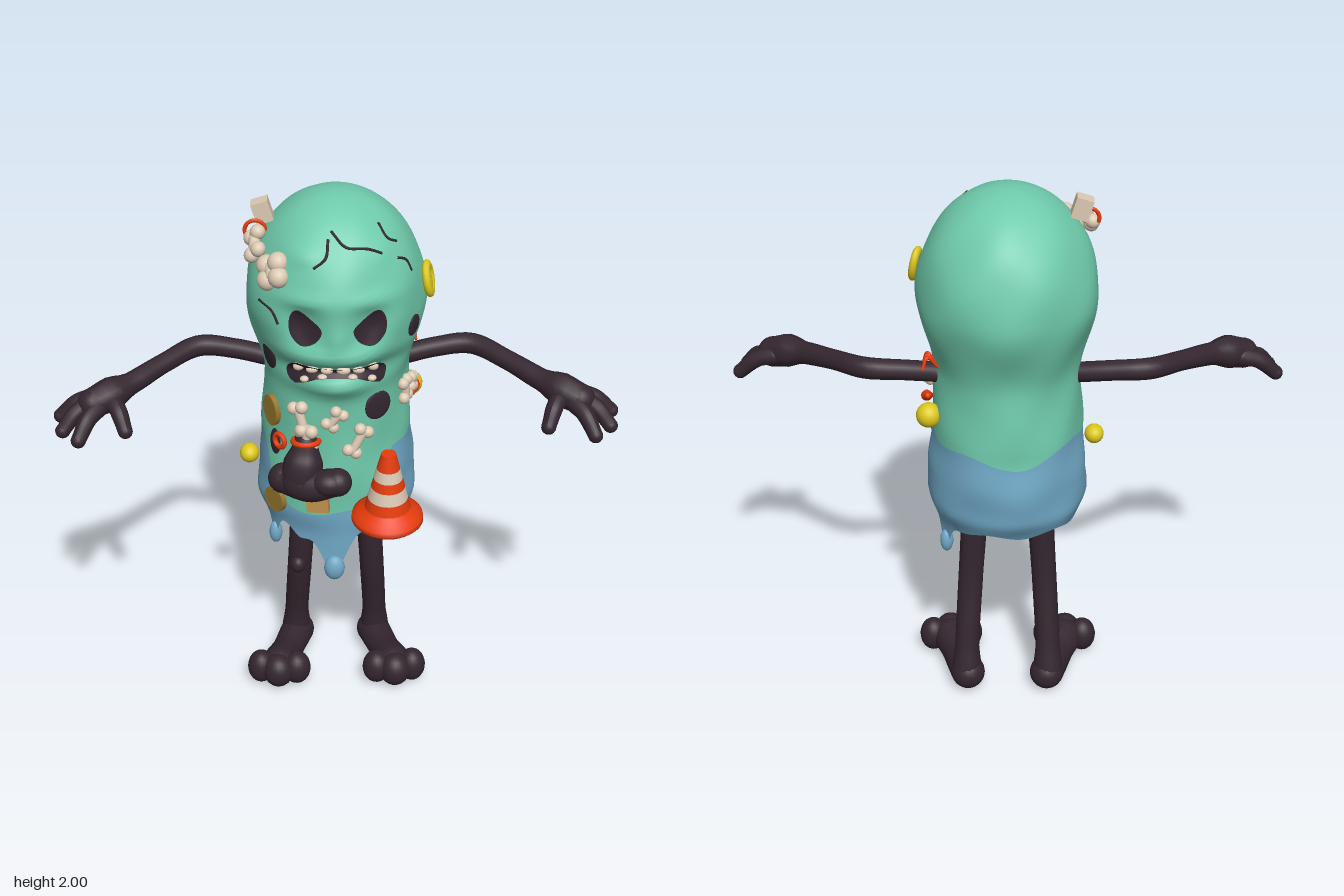
import * as THREE from 'three';

const V = (x, y, z) => new THREE.Vector3(x, y, z);
const mat = (name, color, side = THREE.FrontSide) => {
  const m = new THREE.MeshStandardMaterial({ color, side });
  m.name = name;
  return m;
};
const smooth = THREE.MathUtils.smoothstep;
const gauss = (d, s) => Math.exp(-(d * d) / (2 * s * s));

// Body profile: height, half width, front z, back z
const KEYS = [[0.5, 0.24, 0.18, -0.31], [0.74, 0.26, 0.18, -0.32], [0.85, 0.29, 0.19, -0.365], [0.96, 0.283, 0.195, -0.375],
  [1.1, 0.27, 0.19, -0.36], [1.34, 0.258, 0.2, -0.34], [1.62, 0.315, 0.265, -0.41]];
// Face relief: x, y, spread x, spread y, amount
const BUMPS = [[-0.11, 1.63, 0.045, 0.05, -0.035], [0.11, 1.63, 0.045, 0.05, -0.035], [-0.12, 1.72, 0.06, 0.02, 0.018],
  [0.12, 1.72, 0.06, 0.02, 0.018], [0, 1.58, 0.025, 0.03, 0.015], [0, 1.515, 0.13, 0.025, 0.035], [0, 1.455, 0.14, 0.02, -0.02],
  [0, 1.395, 0.12, 0.03, 0.04], [0.16, 1.87, 0.03, 0.03, 0.01], [-0.12, 1.86, 0.04, 0.02, 0.012]];

function section(y) {
  if (y >= 1.62) {
    const s = Math.sqrt(Math.max(0, 1 - ((y - 1.62) / 0.38) ** 2));
    return [0.315 * s, -0.07 + 0.335 * s, -0.07 - 0.34 * s];
  }
  let i = 0;
  while (i < KEYS.length - 2 && y > KEYS[i + 1][0]) i++;
  const t = smooth(y, KEYS[i][0], KEYS[i + 1][0]);
  return [1, 2, 3].map(k => KEYS[i][k] + (KEYS[i + 1][k] - KEYS[i][k]) * t);
}
function surf(a, y) {
  const [rx, zf, zb] = section(y), zc = -0.07, c = Math.cos(a);
  const lump = 1 + 0.012 * Math.sin(3 * a + 9 * y) * Math.sin(11 * y + 2 * a) + 0.008 * Math.sin(7 * a - 17 * y);
  const p = V(rx * Math.sin(a) * lump, y, zc + (c > 0 ? zf - zc : zc - zb) * c * lump);
  if (c > 0) for (const [bx, by, sx, sy, amt] of BUMPS) p.z += amt * gauss(p.x - bx, sx) * gauss(y - by, sy) * Math.min(1, c * 2);
  return p;
}
function normalAt(a, y) {
  const e = 0.01;
  return surf(a + e, y).sub(surf(a - e, y)).cross(surf(a, y + e).sub(surf(a, y - e))).normalize();
}
const angleOf = (x, y) => Math.asin(THREE.MathUtils.clamp(x / section(y)[0], -1, 1));
const onFront = (x, y, off) => {
  const a = angleOf(x, y);
  return surf(a, y).addScaledVector(normalAt(a, y), off);
};

// Hem drips: angle, depth, spread
const DRIPS = [[-0.04, 0.17, 0.17], [-1.08, 0.09, 0.09], [2.1, 0.12, 0.11], [0.75, 0.05, 0.12], [-0.55, 0.05, 0.12], [1.4, 0.06, 0.1]];
const hem = a => DRIPS.reduce((h, [d, depth, s]) => h - depth * gauss(a - d, s), 0.77 + 0.012 * Math.sin(7 * a));
const waterline = a => 0.86 + 0.25 * (a > 0 ? smooth(a, 0.25, 0.9) : smooth(-a, 0.6, 1.4))
  + 0.012 * Math.sin(5 * a) - 0.04 * smooth(Math.abs(a), 2.4, 3.1);

function bodyGeometry() {
  const seg = 144, low = 16, high = 64, pos = [], idx = [];
  for (let i = 0; i <= low + high; i++) for (let j = 0; j < seg; j++) {
    const a = -Math.PI + (j / seg) * Math.PI * 2, w = waterline(a);
    const y = i <= low ? hem(a) + (w - hem(a)) * i / low : w + (2 - w) * Math.sin((i - low) / high * Math.PI / 2);
    pos.push(...surf(a, y).toArray());
  }
  for (let i = 0; i < low + high; i++) for (let j = 0; j < seg; j++) {
    const a = i * seg + j, b = i * seg + (j + 1) % seg;
    idx.push(a, b, b + seg, a, b + seg, a + seg);
  }
  const g = new THREE.BufferGeometry();
  g.setAttribute('position', new THREE.Float32BufferAttribute(pos, 3));
  g.setIndex(idx);
  g.addGroup(0, low * seg * 6, 0);
  g.addGroup(low * seg * 6, high * seg * 6, 1);
  g.computeVertexNormals();
  return g;
}

// Closed outline (counter-clockwise) laid onto the front of the body
function patchGeometry(pts, off) {
  const n = 32, rings = 6, pos = [], idx = [];
  const loop = new THREE.CatmullRomCurve3(pts.map(p => V(p[0], p[1], 0)), true).getPoints(n).slice(0, n);
  const mid = loop.reduce((s, p) => s.add(p), V(0, 0, 0)).divideScalar(n);
  for (let r = 0; r <= rings; r++) for (const p of loop) {
    const q = mid.clone().lerp(p, r / rings);
    pos.push(...onFront(q.x, q.y, off).toArray());
  }
  for (let r = 0; r < rings; r++) for (let j = 0; j < n; j++) {
    const a = r * n + j, b = r * n + (j + 1) % n;
    idx.push(a, a + n, b + n, a, b + n, b);
  }
  const g = new THREE.BufferGeometry();
  g.setAttribute('position', new THREE.Float32BufferAttribute(pos, 3));
  g.setIndex(idx);
  g.computeVertexNormals();
  return g;
}

export function createModel() {
  const model = new THREE.Group();
  const green = mat('green slime', 0x6fcaac, THREE.DoubleSide), blue = mat('blue slime', 0x70a8c6, THREE.DoubleSide);
  const dark = mat('dark skin', 0x34262f, THREE.DoubleSide), bone = mat('bone', 0xdccab4), yellow = mat('yellow', 0xdcc81e);
  const orange = mat('orange', 0xe63c0c), brown = mat('brown', 0x96762c), tan = mat('tan', 0xc0924a);

  const add = (name, geo, m, parent = model) => {
    const mesh = new THREE.Mesh(geo, m);
    mesh.name = name;
    parent.add(mesh);
    return mesh;
  };
  const ball = (name, m, p, s, parent) => {
    const b = add(name, new THREE.SphereGeometry(1, 20, 14), m, parent);
    b.position.set(...p);
    b.scale.set(...s);
    return b;
  };
  // Tapered tube with round ends; each point is x, y, z, radius
  const limb = (name, m, pts, parent = model) => {
    const n = 28, ring = 14, curve = new THREE.CatmullRomCurve3(pts.map(p => V(p[0], p[1], p[2])));
    const g = new THREE.TubeGeometry(curve, n, 1, ring), at = g.attributes.position, v = V(0, 0, 0);
    for (let i = 0; i <= n; i++) {
      const t = curve.getUtoTmapping(i / n) * (pts.length - 1), k = Math.min(Math.floor(t), pts.length - 2);
      const c = curve.getPointAt(i / n), r = pts[k][3] + (pts[k + 1][3] - pts[k][3]) * smooth(t - k, 0, 1);
      for (let j = i * (ring + 1); j < (i + 1) * (ring + 1); j++) {
        v.fromBufferAttribute(at, j).sub(c).multiplyScalar(r).add(c);
        at.setXYZ(j, v.x, v.y, v.z);
      }
    }
    g.computeVertexNormals();
    add(name, g, m, parent);
    for (const p of [pts[0], pts.at(-1)]) ball(name + 'End', m, p.slice(0, 3), [p[3], p[3], p[3]], parent);
  };
  // Rest a part on the body with its z axis pointing outward
  const stick = (obj, a, y, off = 0, roll = 0) => {
    const n = normalAt(a, y);
    obj.position.copy(surf(a, y)).addScaledVector(n, off);
    obj.quaternion.setFromUnitVectors(V(0, 0, 1), n);
    obj.rotateZ(roll);
    return obj;
  };

  // Body, drip tips
  add('body', bodyGeometry(), [blue, green]);
  DRIPS.slice(0, 3).forEach(([a], i) => {
    const p = surf(a, hem(a));
    ball('dripTip', blue, [p.x, p.y + 0.02, p.z], i ? [0.024, 0.045, 0.024] : [0.038, 0.05, 0.03]);
  });

  // Legs, feet, arms and hands
  for (const s of [1, -1]) {
    const side = s > 0 ? 'left' : 'right', m = pts => pts.map(([x, ...r]) => [x * s, ...r]);
    limb(side + 'Leg', dark, m([[0.115, 1, -0.07, 0.048], [0.122, 0.72, -0.09, 0.048], [0.138, 0.45, -0.105, 0.046], [0.152, 0.2, -0.155, 0.045], [0.155, 0.08, -0.175, 0.056]]));
    limb(side + 'Foot', dark, m([[0.15, 0.066, -0.175, 0.064], [0.19, 0.062, -0.05, 0.06], [0.22, 0.07, 0.05, 0.07]]));
    for (const [x, z, r] of [[0.155, 0.075, 0.054], [0.225, 0.092, 0.06], [0.292, 0.065, 0.052]])
      ball(side + 'Toe', dark, [x * s, 0.07, z], [r, 0.068, r]);
    limb(side + 'Arm', dark, m([[0.25, 1.335, -0.13, 0.036], [0.36, 1.352, -0.15, 0.036], [0.49, 1.362, -0.155, 0.038], [0.61, 1.345, -0.06, 0.036], [0.72, 1.32, 0.04, 0.04], [0.79, 1.305, 0.09, 0.06], [0.85, 1.285, 0.12, 0.055]]));
    const fingers = [[0.84, 1.29, 0.08, 0.97, 1.22, 0.09], [0.86, 1.28, 0.11, 0.955, 1.21, 0.18], [0.83, 1.28, 0.14, 0.895, 1.205, 0.24], [0.78, 1.29, 0.12, 0.735, 1.22, 0.205]];
    for (const [x, y, z, X, Y, Z] of fingers)
      limb(side + 'Finger', dark, m([[x, y, z, 0.034], [(x + X) / 2, (y + Y) / 2 + 0.018, (z + Z) / 2, 0.03], [X, Y, Z, 0.026]]));
    // Slanted eye
    const eye = [[0.05, 1.625], [0.075, 1.575], [0.12, 1.56], [0.158, 1.6], [0.16, 1.66], [0.135, 1.695], [0.09, 1.665]];
    const outline = eye.map(([x, y]) => [x * s, y]);
    add(side + 'Eye', patchGeometry(s > 0 ? outline : outline.reverse(), 0.007), dark);
  }
  ball('kneeBump', dark, [-0.145, 0.46, -0.065], [0.03, 0.035, 0.032]);

  // Mouth and teeth
  add('mouth', patchGeometry([[-0.17, 1.44], [-0.15, 1.4], [-0.07, 1.425], [0, 1.43], [0.08, 1.425], [0.15, 1.4], [0.165, 1.45], [0.13, 1.495], [0.05, 1.48], [0, 1.49], [-0.06, 1.48], [-0.14, 1.5]], 0.008), dark);
  for (const [x, y, w, h] of [[-0.13, 1.475, 0.03, 0.03], [-0.085, 1.467, 0.035, 0.026], [-0.035, 1.47, 0.035, 0.028], [0.02, 1.472, 0.04, 0.03], [0.07, 1.467, 0.035, 0.026], [0.12, 1.474, 0.03, 0.03],
    [-0.11, 1.42, 0.025, 0.022], [-0.05, 1.433, 0.025, 0.018], [0.05, 1.433, 0.025, 0.018], [0.115, 1.42, 0.025, 0.022]])
    ball('tooth', bone, onFront(x, y, 0.008).toArray(), [w / 2 + 0.004, h / 2, 0.014]);

  // Cracks in the head
  for (const line of [[[-0.02, 1.93], [0.03, 1.89], [0.1, 1.88], [0.15, 1.86]], [[-0.08, 1.83], [-0.04, 1.86], [-0.03, 1.91]], [[0.14, 1.93], [0.17, 1.89], [0.2, 1.87]],
    [[-0.26, 1.68], [-0.22, 1.66], [-0.2, 1.62]], [[0.2, 1.83], [0.23, 1.81], [0.25, 1.77]]])
    add('crack', new THREE.TubeGeometry(new THREE.CatmullRomCurve3(line.map(([x, y]) => onFront(x, y, 0))), 16, 0.005, 6), dark);

  // Dark holes: angle, height, half width, half height
  for (const [a, y, w, h] of [[angleOf(0.14, 1.29), 1.29, 0.053, 0.055], [1.03, 1.57, 0.037, 0.04], [-1.0, 1.45, 0.04, 0.06], [-0.95, 1.1, 0.03, 0.05]])
    stick(ball('hole', dark, [0, 0, 0], [w, h, 0.009]), a, y);

  // Bones stuck in the slime
  const addBone = (a, y, len, r, roll, off = 0.012) => {
    const g = new THREE.Group();
    g.name = 'bone';
    add('boneShaft', new THREE.CylinderGeometry(r, r, len, 12), bone, g);
    for (const sx of [-1, 1]) for (const sy of [-1, 1])
      ball('boneKnob', bone, [sx * r, sy * len / 2, 0], [r * 1.35, r * 1.35, r * 1.3], g);
    model.add(stick(g, a, y, off, roll));
  };
  for (const [x, y, len, r, roll] of [[-0.12, 1.245, 0.09, 0.017, 0.3], [-0.01, 1.26, 0.06, 0.015, -0.6], [0.07, 1.165, 0.09, 0.016, -0.5], [0.235, 1.29, 0.06, 0.016, 0.1]])
    addBone(angleOf(x, y), y, len, r, roll);
  addBone(1.42, 1.28, 0.04, 0.016, 1.2);
  addBone(-1.25, 1.83, 0.07, 0.02, 0.6, 0.035);
  addBone(-0.85, 1.79, 0.05, 0.027, 0.3, 0.005);
  const stub = add('boneBlock', new THREE.BoxGeometry(0.06, 0.075, 0.055), bone);
  stub.position.set(-0.25, 1.925, -0.07);
  stub.rotation.z = 0.3;
  const loop = add('redStrand', new THREE.TorusGeometry(0.035, 0.007, 8, 20, 3.6), orange);
  loop.position.set(-0.275, 1.87, -0.03);

  // Yellow ear ring, balls and orange scraps on the sides
  const ear = new THREE.Group();
  ear.name = 'yellowEar';
  const rim = add('earRim', new THREE.TorusGeometry(0.034, 0.014, 10, 24), yellow, ear);
  rim.scale.y = 1.4;
  ball('earCentre', yellow, [0, -0.01, 0], [0.03, 0.045, 0.012], ear);
  model.add(stick(ear, 1.4, 1.69, 0.012));
  ball('yellowBall', yellow, [0.275, 1.19, -0.18], [0.045, 0.045, 0.045]);
  ball('yellowLump', yellow, [-0.315, 1.01, 0.01], [0.035, 0.035, 0.04]);
  limb('orangeScrap', orange, [[0.275, 1.21, -0.07, 0.012], [0.285, 1.225, -0.1, 0.02], [0.28, 1.24, -0.13, 0.012]]);
  for (const dz of [-0.035, 0, 0.03])
    limb('redStrand', orange, [[0.24, 1.38, -0.18, 0.006], [0.275, 1.425, -0.18 + dz * 0.6, 0.006], [0.29, 1.385, -0.18 + dz, 0.005]]);

  // Brown buttons and a wooden scrap
  for (const [x, y, w, h] of [[-0.225, 1.225, 0.042, 0.06], [-0.22, 0.87, 0.048, 0.05]]) {
    const g = new THREE.Group();
    g.name = 'button';
    add('buttonDisc', new THREE.CylinderGeometry(1, 1, 0.02, 24).rotateX(Math.PI / 2), brown, g);
    add('buttonRim', new THREE.TorusGeometry(0.85, 0.14, 8, 24), brown, g);
    g.scale.set(w, h, 1);
    g.children[1].scale.z = 0.08;
    model.add(stick(g, angleOf(x, y), y, 0.008, 0.1));
  }
  stick(add('woodScrap', new THREE.BoxGeometry(0.08, 0.13, 0.025), tan), angleOf(-0.07, 0.94), 0.94, 0.008, 0.08);

  // Old boot with a red rim
  limb('bootShaft', dark, [[-0.11, 1.15, 0.18, 0.045], [-0.12, 1.09, 0.22, 0.07], [-0.13, 1.03, 0.23, 0.07]]);
  limb('bootFoot', dark, [[-0.19, 1.02, 0.2, 0.055], [-0.1, 1.02, 0.25, 0.06], [0, 1.05, 0.28, 0.05]]);
  ball('bootToe', dark, [-0.03, 1.05, 0.285], [0.06, 0.045, 0.05]);
  const bootRim = add('bootRim', new THREE.TorusGeometry(0.045, 0.01, 8, 24), orange);
  bootRim.position.set(-0.11, 1.165, 0.19);
  bootRim.rotation.x = 1.4;
  stick(add('redRing', new THREE.TorusGeometry(0.025, 0.009, 8, 20), orange), -0.8, 1.125, 0.015);
  addBone(angleOf(-0.1, 1.18), 1.18, 0.06, 0.018, 0, 0.02);

  // Traffic cone
  const cone = new THREE.Group();
  cone.name = 'cone';
  const base = [[0, 0], [0.115, 0], [0.127, 0.012], [0.125, 0.03], [0.105, 0.045], [0.085, 0.06], [0.08, 0.066]];
  add('coneBase', new THREE.LatheGeometry(base.map(p => new THREE.Vector2(...p)), 36), orange, cone);
  const levels = [0.06, 0.105, 0.15, 0.185, 0.225, 0.285], radius = y => 0.082 - (y - 0.06) * 0.25;
  for (let i = 0; i < 5; i++) {
    const [a, b] = [levels[i], levels[i + 1]];
    const band = add('coneBand', new THREE.CylinderGeometry(radius(b), radius(a), b - a, 28), i % 2 ? bone : orange, cone);
    band.position.y = (a + b) / 2;
  }
  cone.position.set(0.175, 0.89, 0.28);
  cone.rotation.x = 0.05;
  model.add(cone);
  return model;
}
